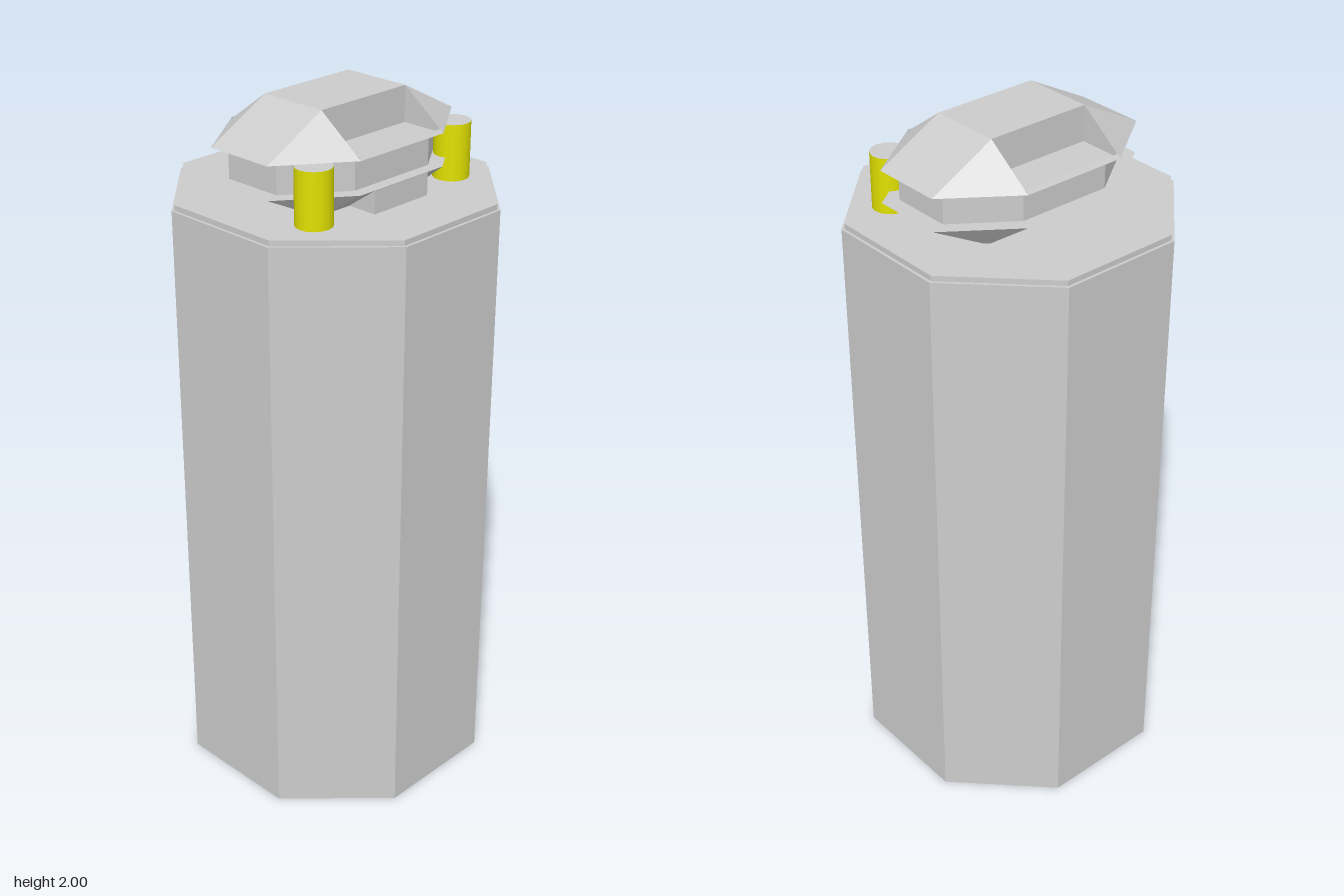
import * as THREE from 'three';

const grey = new THREE.MeshStandardMaterial({ color: 0xcccccc, flatShading: true, side: THREE.DoubleSide });
const smoothGrey = new THREE.MeshStandardMaterial({ color: 0xcccccc });
const yellow = new THREE.MeshStandardMaterial({ color: 0xe0e000 });

// Eight-cornered ring, counter-clockwise from above: half sizes x, z and corner offsets cx, cz
const ring = (y, x, cx, z, cz) => [
  [cx, z], [x, cz], [x, -cz], [cx, -z], [-cx, -z], [-x, -cz], [-x, cz], [-cx, z],
].map(([px, pz]) => new THREE.Vector3(px, y, pz));

// Flat-shaded mesh from polygons, each split as a fan; collapsed triangles are dropped
function polyMesh(name, polygons) {
  const points = [];
  for (const p of polygons) {
    for (let i = 1; i < p.length - 1; i++) {
      const t = new THREE.Triangle(p[0], p[i], p[i + 1]);
      if (t.getArea() > 1e-7) points.push(t.a, t.b, t.c);
    }
  }
  const geometry = new THREE.BufferGeometry().setFromPoints(points);
  geometry.computeVertexNormals();
  const mesh = new THREE.Mesh(geometry, grey);
  mesh.name = name;
  return mesh;
}

// Side faces between two rings, leaving out the listed segments
function sides(low, high, skip = []) {
  const faces = [];
  for (let i = 0; i < 8; i++) {
    const j = (i + 1) % 8;
    if (!skip.includes(i)) faces.push([low[i], low[j], high[j], high[i]]);
  }
  return faces;
}
const down = (r) => [...r].reverse();

export function createModel() {
  const model = new THREE.Group();

  // Octagonal body, open underneath
  const foot = ring(0, 0.42, 0.18, 0.42, 0.18);
  const shoulder = ring(1.73, 0.42, 0.18, 0.42, 0.18);
  model.add(polyMesh('body', [...sides(foot, shoulder), shoulder]));

  // Thin plate on the body
  const plateLow = ring(1.73, 0.412, 0.177, 0.412, 0.177);
  const plateHigh = ring(1.745, 0.412, 0.177, 0.412, 0.177);
  model.add(polyMesh('topPlate', [...sides(plateLow, plateHigh), plateHigh]));

  // Head: tapered base, neck and sloped cap
  const head = new THREE.Group();
  head.name = 'head';
  model.add(head);

  const baseLow = ring(1.74, 0.2, 0.2, 0.14, 0.14);
  const baseHigh = ring(1.81, 0.345, 0.155, 0.24, 0.103);
  head.add(polyMesh('headBase', [down(baseLow), ...sides(baseLow, baseHigh), baseHigh]));

  const neckLow = ring(1.81, 0.3, 0.138, 0.204, 0.088);
  const neckHigh = ring(1.9, 0.3, 0.138, 0.204, 0.088);
  head.add(polyMesh('neck', sides(neckLow, neckHigh)));

  // Cap, with the front and back slopes cut away; its underside is the recess floor
  const brim = ring(1.9, 0.345, 0.155, 0.24, 0.103);
  const crown = ring(2, 0.155, 0.155, 0.103, 0.103);
  head.add(polyMesh('cap', [down(brim), ...sides(brim, crown, [3, 7]), crown]));

  // Recess walls and low lip at the front and back of the cap
  for (const [name, turn] of [['frontRecess', 0], ['backRecess', Math.PI]]) {
    const v = (x, y, z) => new THREE.Vector3(x, y, z);
    const w = 0.155;
    const recess = polyMesh(name, [
      [v(-w, 1.9, 0.103), v(w, 1.9, 0.103), v(w, 2, 0.103), v(-w, 2, 0.103)],
      [v(-w, 1.9, 0.103), v(-w, 2, 0.103), v(-w, 1.9, 0.24)],
      [v(w, 1.9, 0.103), v(w, 1.9, 0.24), v(w, 2, 0.103)],
      [v(-w, 1.9, 0.24), v(w, 1.9, 0.24), v(w, 1.91, 0.23), v(-w, 1.91, 0.23)],
      [v(w, 1.9, 0.23), v(-w, 1.9, 0.23), v(-w, 1.91, 0.23), v(w, 1.91, 0.23)],
    ]);
    recess.rotation.y = turn;
    head.add(recess);
  }

  // Block under the front of the head
  const block = new THREE.Mesh(new THREE.BoxGeometry(0.2, 0.065, 0.135), grey);
  block.name = 'frontBlock';
  block.position.set(0, 1.777, 0.17);
  head.add(block);

  // Yellow posts with grey tops
  for (const [name, side] of [['leftPost', 1], ['rightPost', -1]]) {
    const post = new THREE.Group();
    post.name = name;
    post.position.set(side * 0.26, 0, 0.18);
    const shaft = new THREE.Mesh(new THREE.CylinderGeometry(0.05, 0.05, 0.155, 16, 1, true), yellow);
    shaft.name = 'postShaft';
    shaft.position.y = 1.8225;
    const top = new THREE.Mesh(new THREE.CircleGeometry(0.05, 16), smoothGrey);
    top.name = 'postTop';
    top.rotation.x = -Math.PI / 2;
    top.position.y = 1.9;
    post.add(shaft, top);
    model.add(post);
  }
  return model;
}
